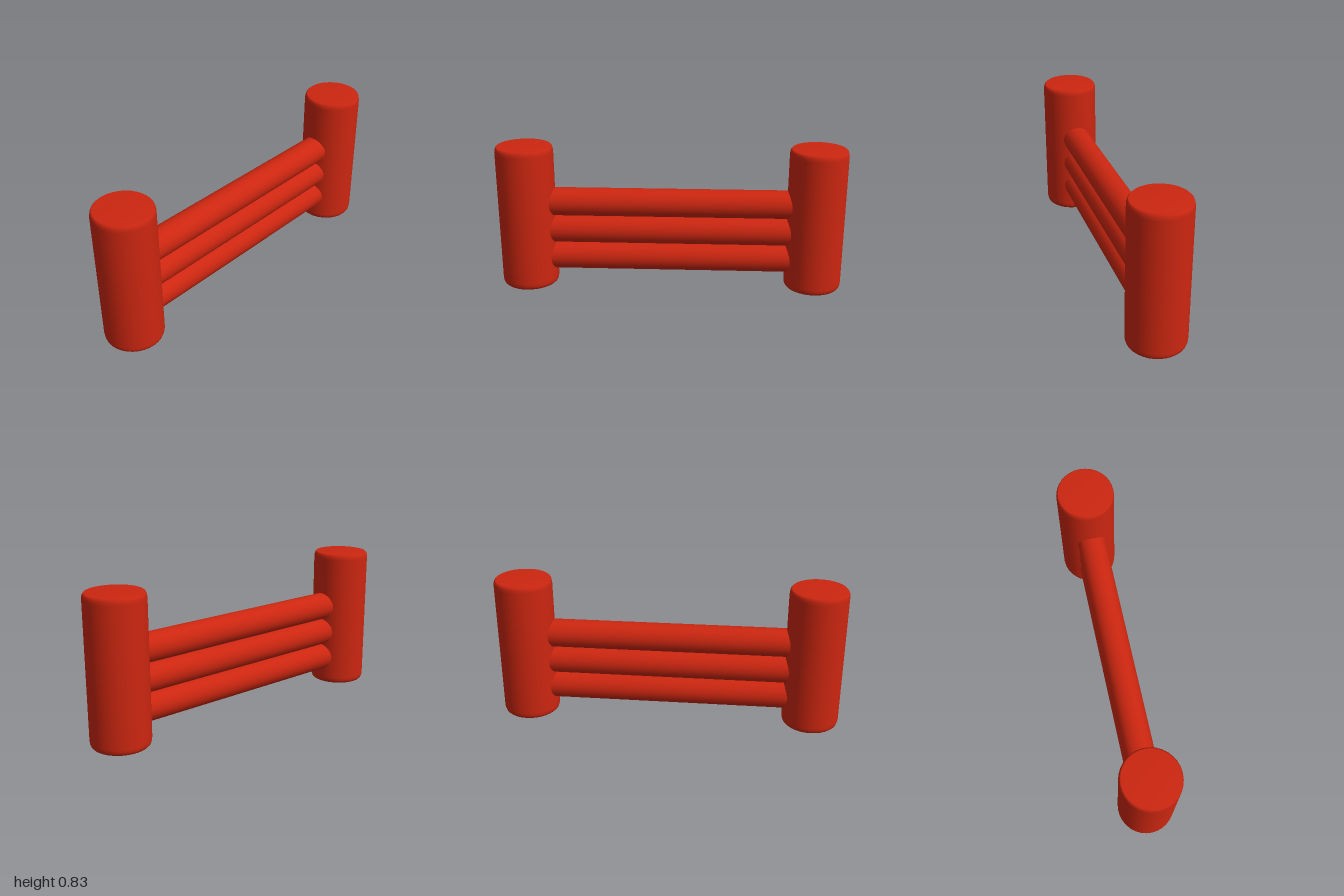
import * as THREE from 'three';

const POST_X = 0.835, POST_R = 0.165, POST_H = 0.83;
const RAIL_R = 0.082;

// Half profile of a post, with softly rounded rims
function postProfile() {
  const rim = [[0, 0], [0.152, 0], [0.159, 0.007], [0.163, 0.018], [POST_R, 0.035]];
  const top = rim.map(([r, y]) => [r, POST_H - y]).reverse();
  return [...rim, ...top].map(([r, y]) => new THREE.Vector2(r, y));
}

export function createModel() {
  const group = new THREE.Group();
  group.name = 'fence';
  const red = new THREE.MeshStandardMaterial({ color: 0xcc2610 });
  red.name = 'red';

  // Two upright posts
  const postGeometry = new THREE.LatheGeometry(postProfile(), 32);
  for (const side of [-1, 1]) {
    const post = new THREE.Mesh(postGeometry, red);
    post.name = side > 0 ? 'leftPost' : 'rightPost';
    post.position.x = side * POST_X;
    group.add(post);
  }

  // Three stacked rails whose ends sink into the posts
  const railGeometry = new THREE.CylinderGeometry(RAIL_R, RAIL_R, POST_X * 2 - 0.1, 24);
  railGeometry.rotateZ(Math.PI / 2);
  ['lowerRail', 'middleRail', 'upperRail'].forEach((name, i) => {
    const rail = new THREE.Mesh(railGeometry, red);
    rail.name = name;
    rail.position.y = 0.168 + i * 0.165;
    group.add(rail);
  });

  return group;
}
